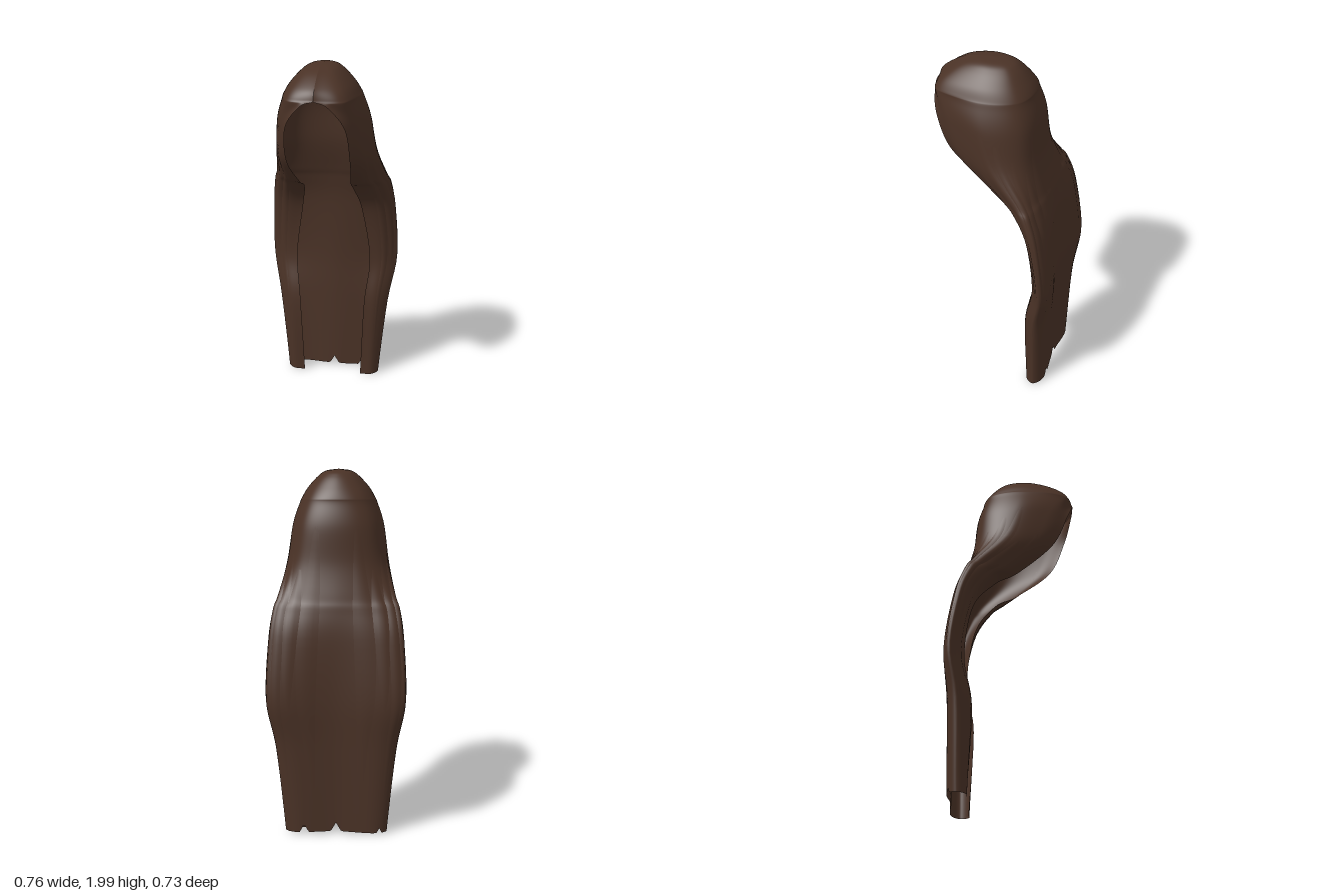
import * as THREE from 'three';

// Cross-section levels of the hair from crown to tips:
// y, back z, back corner z, half width, side z, front x, front z, rim x, rim z
const LEVELS = [
  [2.0, 0.07, 0.07, 0.002, 0.07, 0.001, 0.07, 0, 0.07],
  [1.99, -0.03, 0, 0.07, 0.08, 0.05, 0.14, 0, 0.17],
  [1.96, -0.08, -0.04, 0.115, 0.08, 0.085, 0.21, 0, 0.26],
  [1.9, -0.13, -0.08, 0.17, 0.08, 0.13, 0.28, 0, 0.345],
  [1.85, -0.16, -0.11, 0.2, 0.07, 0.155, 0.31, 0, 0.37],
  [1.82, -0.167, -0.117, 0.214, 0.065, 0.168, 0.3, 0.07, 0.367],
  [1.7, -0.2, -0.15, 0.252, 0.03, 0.215, 0.22, 0.155, 0.33],
  [1.5, -0.22, -0.18, 0.278, -0.04, 0.235, 0.14, 0.17, 0.24],
  [1.33, -0.265, -0.235, 0.315, -0.18, 0.23, -0.02, 0.145, 0.04],
  [1.26, -0.285, -0.265, 0.338, -0.23, 0.25, -0.12, 0.14, -0.09],
  [1.1, -0.31, -0.315, 0.36, -0.285, 0.28, -0.22, 0.175, -0.21],
  [0.78, -0.325, -0.355, 0.373, -0.33, 0.3, -0.27, 0.22, -0.25],
  [0.5, -0.32, -0.335, 0.328, -0.29, 0.27, -0.22, 0.195, -0.205],
  [0.03, -0.31, -0.325, 0.28, -0.28, 0.245, -0.225, 0.175, -0.225],
];

const spline = (points) => new THREE.CatmullRomCurve3(points, false, 'catmullrom', 0.5);

// Five lengthwise guide curves for the left half
const guides = [0, 1, 2, 3, 4].map((k) => spline(LEVELS.map(
  ([y, zb, zk, w, zw, xf, zf, rx, rz]) => new THREE.Vector3(
    [0, 0.72 * w, w, xf, rx][k], y, [zb, zk, zw, zf, rz][k]))));

// Cross-section curve at v (0 crown, 1 tips), mirrored over x = 0
function sectionAt(v) {
  const half = guides.map((guide) => {
    const p = guide.getPoint(v);
    p.x = Math.max(0, p.x);
    return p;
  });
  const mirrored = half.slice(1).reverse().map((p) => new THREE.Vector3(-p.x, p.y, p.z));
  return spline([...mirrored, ...half]);
}

// Point on the hair, u from -1 (right rim) through 0 (back) to 1 (left rim)
const hairPoint = (u, v) => sectionAt(v).getPoint((u + 1) / 2);

function gridGeometry(rows, cols, pointAt) {
  const positions = [];
  const index = [];
  for (let j = 0; j <= rows; j++) {
    for (let i = 0; i <= cols; i++) {
      positions.push(...pointAt(i / cols, j / rows).toArray());
      if (i < cols && j < rows) {
        const a = j * (cols + 1) + i;
        const c = a + cols + 1;
        index.push(a, a + 1, c, a + 1, c + 1, c);
      }
    }
  }
  const geometry = new THREE.BufferGeometry();
  geometry.setAttribute('position', new THREE.Float32BufferAttribute(positions, 3));
  geometry.setIndex(index);
  geometry.computeVertexNormals();
  return geometry;
}

// A lock lies just outside the shell and tapers to both ends
function lockGeometry(u0, width, v0, v1, lift) {
  return gridGeometry(32, 4, (s, t) => {
    const v = v0 + (v1 - v0) * t;
    const taper = Math.pow(Math.sin(Math.PI * (0.03 + 0.94 * t)), 0.6);
    const u = u0 + (s - 0.5) * width * taper;
    const p = hairPoint(u, v);
    const du = hairPoint(u + 0.01, v).sub(hairPoint(u - 0.01, v));
    const dv = hairPoint(u, v + 0.01).sub(hairPoint(u, v - 0.01));
    const bulge = lift * Math.sin(Math.PI * t) * (0.3 + 0.7 * Math.sin(Math.PI * s));
    return p.addScaledVector(du.cross(dv).normalize(), bulge);
  });
}

export function createModel() {
  const model = new THREE.Group();
  model.name = 'longHair';
  const brown = new THREE.MeshStandardMaterial({ color: 0x4a3226, side: THREE.DoubleSide });
  brown.name = 'dark brown hair';

  const add = (name, geometry) => {
    const mesh = new THREE.Mesh(geometry, brown);
    mesh.name = name;
    model.add(mesh);
  };

  // Main shell: hood around the face flowing into the long back, notched at the tips
  const notches = [[0, 0.05], [0.21, 0.05], [-0.33, 0.03]];
  add('hairShell', gridGeometry(117, 128, (s, t) => {
    const u = s * 2 - 1;
    const p = hairPoint(u, t);
    if (t === 1) {
      for (const [centre, height] of notches) {
        p.y += height * Math.max(0, 1 - Math.abs(u - centre) / 0.035);
      }
      p.y -= 0.015 * Math.abs(u);
    }
    return p;
  }));

  // Overlapping locks down the back and sides, alternating long and short
  for (let k = 0; k < 7; k++) {
    const short = k % 2;
    const u = 0.14 + 0.1 * k;
    const start = 0.46 + 0.03 * ((k * 3) % 4);
    const end = short ? 0.86 : 0.97;
    const lift = short ? 0.009 : 0.006;
    add('leftLock', lockGeometry(u, 0.11, start, end, lift));
    add('rightLock', lockGeometry(-u, 0.11, start, end, lift));
  }
  return model;
}
